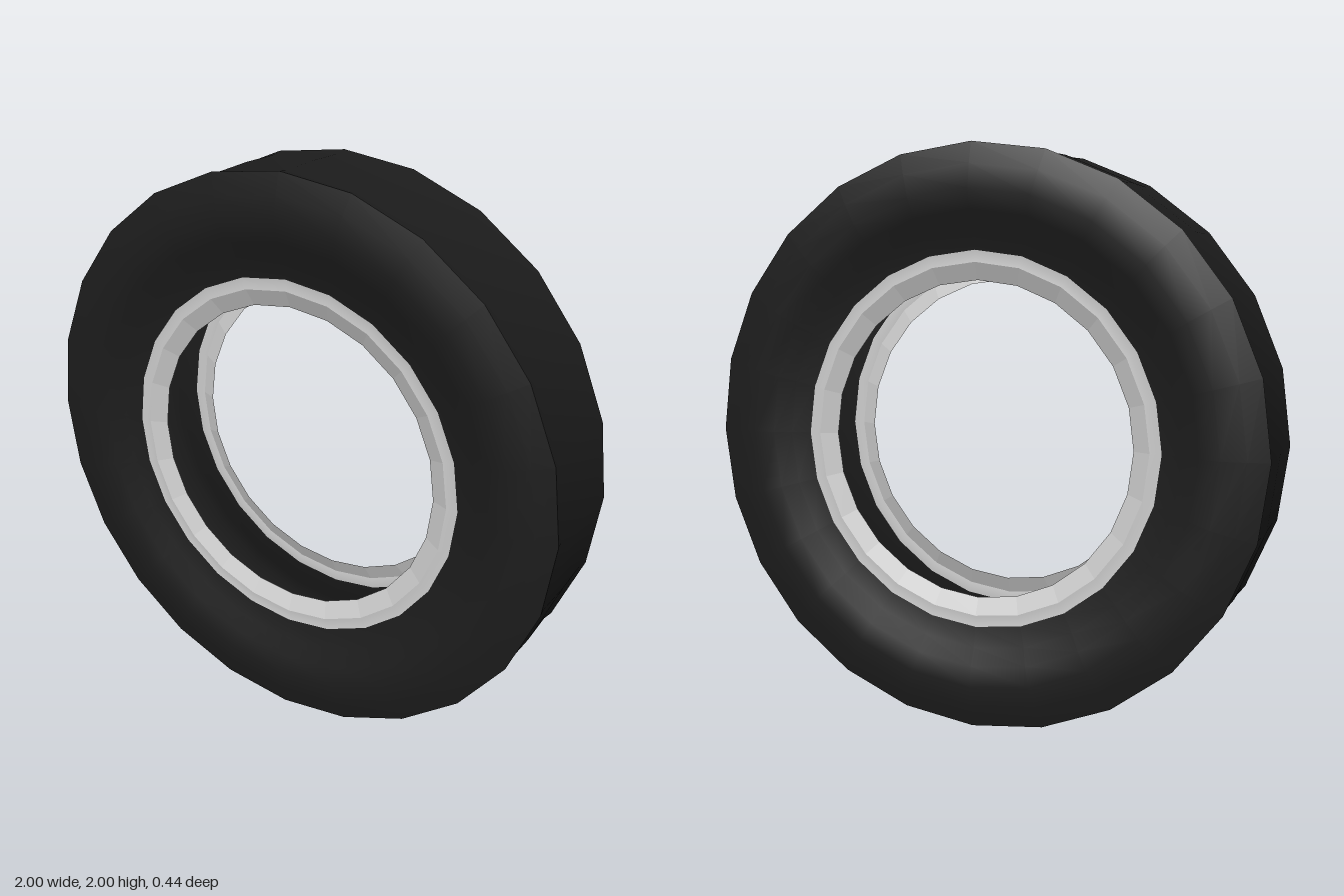
import * as THREE from 'three';
import { toCreasedNormals } from 'three/addons/utils/BufferGeometryUtils.js';

const SIDES = 24;

// Spins a [radius, z] profile around the z axis
function ring(name, profile, material, crease = 0.6) {
  const points = profile.map(([r, z]) => new THREE.Vector2(r, z));
  const geometry = new THREE.LatheGeometry(points, SIDES).rotateX(Math.PI / 2);
  const mesh = new THREE.Mesh(toCreasedNormals(geometry, crease), material);
  mesh.name = name;
  return mesh;
}

// The same profile on the other side, reversed so its faces stay outward
const mirrored = (profile) => profile.map(([r, z]) => [r, -z]).reverse();

export function createModel() {
  const group = new THREE.Group();
  group.name = 'tyre';

  const rubber = new THREE.MeshStandardMaterial({ color: 0x1c1c1c, side: THREE.DoubleSide });
  const metal = new THREE.MeshStandardMaterial({ color: 0xcccccc, side: THREE.DoubleSide });
  const lipMetal = new THREE.MeshStandardMaterial({ color: 0xcccccc, side: THREE.DoubleSide, flatShading: true });

  // Tread band, slightly dished between the shoulders
  group.add(ring('tread', [[1, -0.19], [0.993, -0.15], [0.997, 0], [0.993, 0.15], [1, 0.19]], rubber));

  // Hollow casing: a sidewall, bead and conical lip on each side
  const sidewall = [[1, 0.19], [0.93, 0.208], [0.85, 0.22], [0.78, 0.205], [0.72, 0.178], [0.65, 0.162]];
  const bead = [[0.65, 0.162], [0.63, 0.16], [0.61, 0.162]];
  const lip = [[0.61, 0.162], [0.55, 0.136]];

  for (const [side, place] of [['front', (p) => p], ['back', mirrored]]) {
    group.add(ring(side + 'Sidewall', place(sidewall), rubber));
    group.add(ring(side + 'Bead', place(bead), metal));
    group.add(ring(side + 'Lip', place(lip), lipMetal, 0.1));
  }

  // Stand on the ground
  group.children.forEach((mesh) => { mesh.position.y = 1; });
  return group;
}
